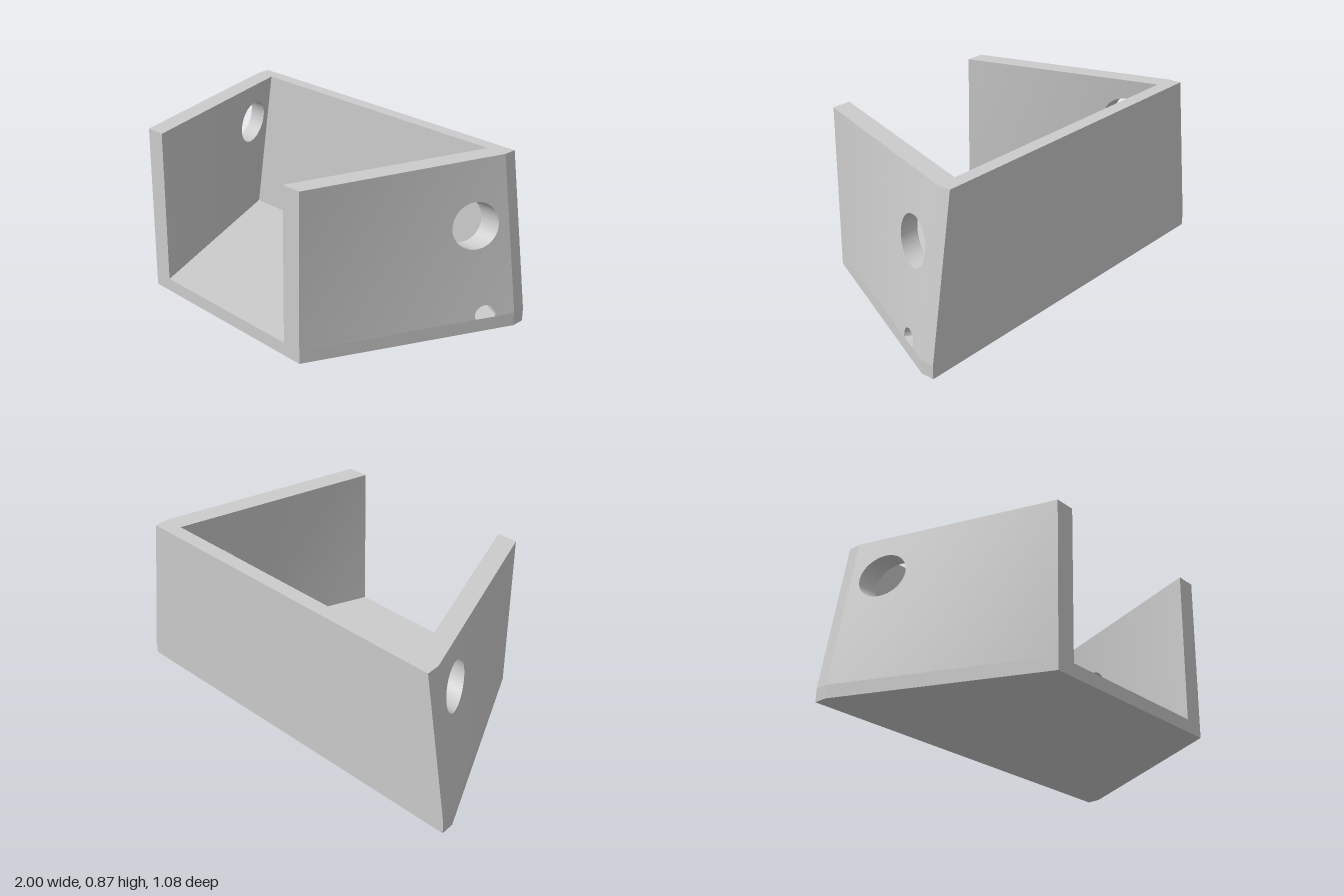
import * as THREE from 'three';
import { toCreasedNormals } from 'three/addons/utils/BufferGeometryUtils.js';

const FLOOR = 0.068, TOP = 0.865, BACK = -0.54, INNER_BACK = -0.47, FRONT = 0.54;
const { lerp } = THREE.MathUtils;
const material = new THREE.MeshStandardMaterial({ color: 0xcccccc });

// Half-width of a wall surface: leaning at the back, upright at the front
const surface = (low, high, front) => (z, y) => lerp(
  lerp(low, high, (y - FLOOR) / (TOP - FLOOR)), front, (z - INNER_BACK) / (FRONT - INNER_BACK));
const outer = surface(1, 0.875, 0.545);
const inner = surface(0.895, 0.77, 0.44);

// Distance from a hole centre to the border of its panel at angle a
function reach(hole, y0, y1, a) {
  const c = Math.cos(a), s = Math.sin(a);
  const dz = Math.abs(c) < 1e-9 ? Infinity : ((c > 0 ? FRONT : INNER_BACK) - hole.z) / c;
  const dy = Math.abs(s) < 1e-9 ? Infinity : ((s > 0 ? y1 : y0) - hole.y) / s;
  return Math.min(dz, dy);
}

function sideWall(side, panels) {
  const pos = [];
  const tri = (a, b, c) => {
    const area = b.clone().sub(a).cross(c.clone().sub(a)).length();
    if (area < 1e-9) return;
    for (const p of side > 0 ? [a, b, c] : [a, c, b]) pos.push(side * p.x, p.y, p.z);
  };
  const quad = (a, b, c, d) => { tri(a, b, c); tri(a, c, d); };
  const at = (f, z, y) => new THREE.Vector3(f(z, y), y, z);
  const rimPoint = (f, h, y0, y1, a) => {
    const d = Math.min(h.r, reach(h, y0, y1, a));
    return at(f, h.z + d * Math.cos(a), h.y + d * Math.sin(a));
  };
  const steps = 96, rings = 10;
  const uniform = Array.from({ length: steps + 1 }, (_, i) => -Math.PI + i * 2 * Math.PI / steps);

  // Wall face spreading in rings from the hole to the panel border
  function face(f, h, y0, y1, reverse) {
    const angles = [...uniform];
    for (const z of [INNER_BACK, FRONT]) for (const y of [y0, y1]) angles.push(Math.atan2(y - h.y, z - h.z));
    angles.sort((a, b) => a - b);
    const point = (a, k) => {
      const d = reach(h, y0, y1, a);
      const r = lerp(Math.min(h.r, d), d, k / rings);
      return at(f, h.z + r * Math.cos(a), h.y + r * Math.sin(a));
    };
    for (let i = 0; i < angles.length - 1; i++) for (let k = 0; k < rings; k++) {
      const a = angles[i], b = angles[i + 1];
      const q = [point(a, k), point(a, k + 1), point(b, k + 1), point(b, k)];
      quad(...(reverse ? q.reverse() : q));
    }
  }

  for (const { y0, y1, hole } of panels) {
    const innerHole = { ...hole, z: hole.z + (hole.shift || 0) };
    face(outer, hole, y0, y1, true);
    face(inner, innerHole, y0, y1, false);
    // Bore through the wall
    for (let i = 0; i < steps; i++) {
      const a = uniform[i], b = uniform[i + 1];
      quad(rimPoint(outer, hole, y0, y1, a), rimPoint(inner, innerHole, y0, y1, a),
        rimPoint(inner, innerHole, y0, y1, b), rimPoint(outer, hole, y0, y1, b));
    }
  }
  // Top rim and front end
  quad(at(outer, INNER_BACK, TOP), at(inner, INNER_BACK, TOP), at(inner, FRONT, TOP), at(outer, FRONT, TOP));
  quad(at(outer, FRONT, FLOOR), at(outer, FRONT, TOP), at(inner, FRONT, TOP), at(inner, FRONT, FLOOR));

  const geometry = new THREE.BufferGeometry();
  geometry.setAttribute('position', new THREE.Float32BufferAttribute(pos, 3));
  return toCreasedNormals(geometry, 0.1);
}

// Slab from an outline of the right half, mirrored to the left
function slab(half, depth) {
  const points = [...half, ...half.map(([x, y]) => [-x, y]).reverse()];
  const shape = new THREE.Shape(points.map(([x, y]) => new THREE.Vector2(x, y)));
  return new THREE.ExtrudeGeometry(shape, { depth, bevelEnabled: false });
}

export function createModel() {
  const group = new THREE.Group();
  const add = (name, geometry) => {
    const mesh = new THREE.Mesh(geometry, material);
    mesh.name = name;
    group.add(mesh);
  };

  // Floor plate with blunt back corners
  add('floor', slab([[0.545, -FRONT], [1, -INNER_BACK], [1, -BACK]], FLOOR).rotateX(-Math.PI / 2));

  // Back wall, narrower at the top
  add('backWall', slab([[1, FLOOR], [0.875, TOP]], INNER_BACK - BACK).translate(0, 0, BACK));

  // Left wall: large hole and a small square-on cable hole at the floor
  add('leftWall', sideWall(1, [
    { y0: FLOOR, y1: 0.2, hole: { z: -0.327, y: 0.085, r: 0.05, shift: -0.045 } },
    { y0: 0.2, y1: TOP, hole: { z: -0.3, y: 0.543, r: 0.117 } },
  ]));

  // Right wall: one large hole, set higher
  add('rightWall', sideWall(-1, [
    { y0: FLOOR, y1: TOP, hole: { z: -0.307, y: 0.642, r: 0.117 } },
  ]));
  return group;
}
